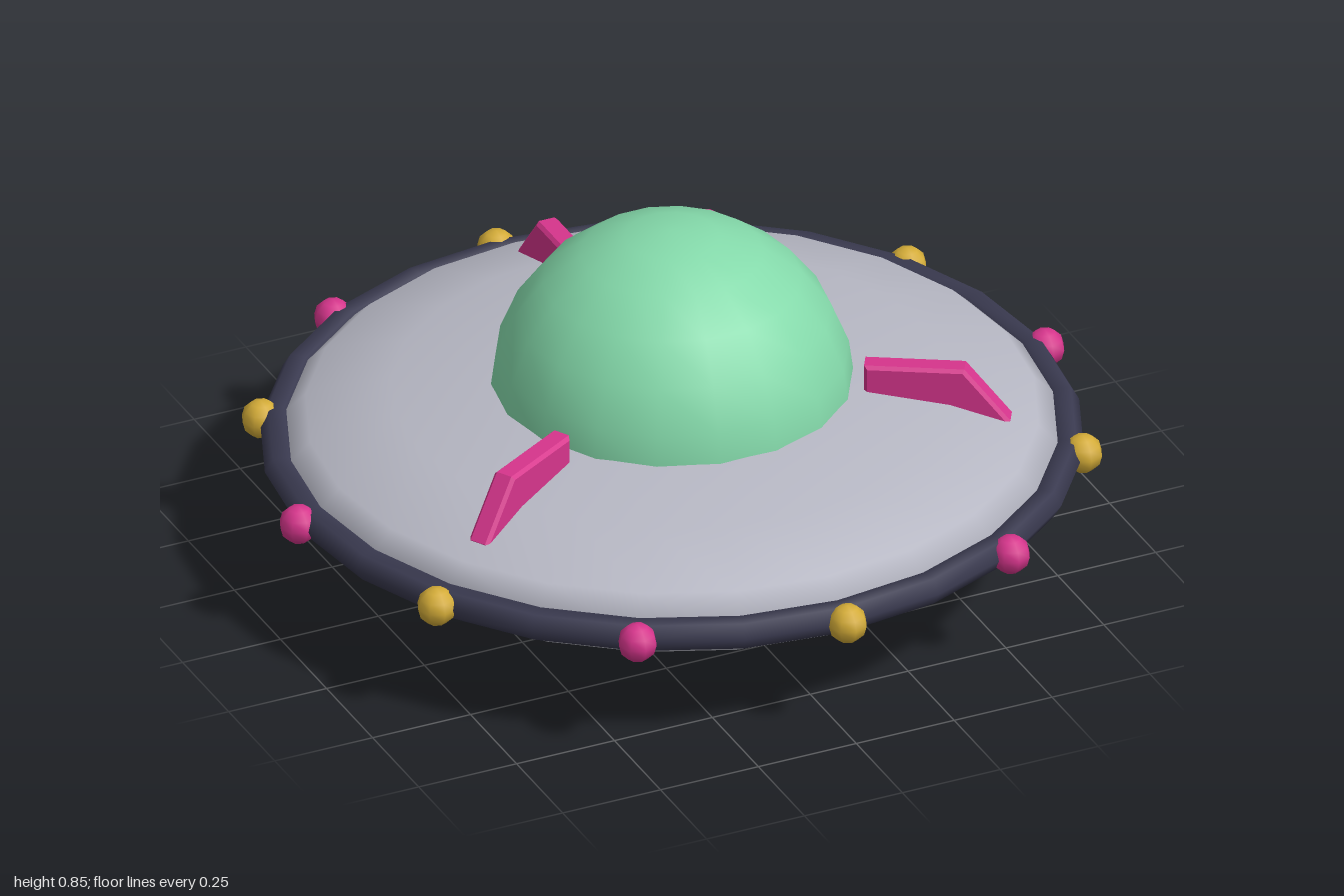
import * as THREE from 'three';
import { toCreasedNormals } from 'three/addons/utils/BufferGeometryUtils.js';

const material = (name, color) => {
  const m = new THREE.MeshStandardMaterial({ color });
  m.name = name;
  return m;
};

export function createModel() {
  const silver = material('silver hull', 0xb6b7c3);
  const green = material('green glass', 0x84d9aa);
  const dark = material('dark trim', 0x3a3a50);
  const pink = material('pink', 0xd6358c);
  const gold = material('gold', 0xd4ac38);

  const model = new THREE.Group();
  model.name = 'flyingSaucer';
  const add = (name, geometry, mat, y = 0) => {
    const mesh = new THREE.Mesh(geometry, mat);
    mesh.name = name;
    mesh.position.y = y;
    model.add(mesh);
    return mesh;
  };

  // Saucer hull: elliptical profile, deeper below the rim than above it
  const rimY = 0.297;
  const profile = [];
  for (let i = 0; i <= 8; i++) {
    const a = (i / 8) * Math.PI;
    const height = i < 4 ? 0.225 : 0.183;
    profile.push(new THREE.Vector2(0.92 * Math.sin(a), -height * Math.cos(a)));
  }
  add('hull', new THREE.LatheGeometry(profile, 24), silver, rimY);

  // Glass dome
  add('dome', new THREE.SphereGeometry(0.425, 18, 6, 0, Math.PI * 2, 0, Math.PI / 2), green, 0.42);

  // Hexagonal-section rings around the rim and the underside
  const ring = (name, radius, tube, segments, y) =>
    add(name, new THREE.TorusGeometry(radius, tube, 6, segments).rotateX(Math.PI / 2), dark, y);
  ring('rimRing', 0.918, 0.038, 24, rimY);
  ring('baseRing', 0.413, 0.03, 18, 0.062);

  // Glowing drum under the hull
  const drum = [[0, 0], [0.34, 0.01], [0.37, 0.024], [0.37, 0.1]].map(([x, y]) => new THREE.Vector2(x, y));
  add('engineDrum', toCreasedNormals(new THREE.LatheGeometry(drum, 18), 0.4), green);

  // Alternating lights on the rim
  const bulb = new THREE.SphereGeometry(0.047, 8, 6);
  for (let i = 0; i < 12; i++) {
    const a = (i * Math.PI) / 6;
    const light = add('rimLight', bulb, i % 2 ? pink : gold, rimY);
    light.position.x = 0.953 * Math.sin(a);
    light.position.z = 0.953 * Math.cos(a);
  }

  // Three bevelled fins around the dome
  const bevel = 0.008;
  const outline = [[0.455, 0.39], [0.455, 0.51], [0.676, 0.51], [0.778, 0.385], [0.77, 0.35]];
  const fin = new THREE.ExtrudeGeometry(new THREE.Shape(outline.map(([x, y]) => new THREE.Vector2(x, y))), {
    depth: 0.04, bevelThickness: bevel, bevelSize: bevel, bevelSegments: 1,
  }).translate(0, 0, -0.02);
  for (let i = 0; i < 3; i++) {
    add('fin', fin, pink).rotation.y = Math.PI / 2 + (i * Math.PI * 2) / 3;
  }

  return model;
}
